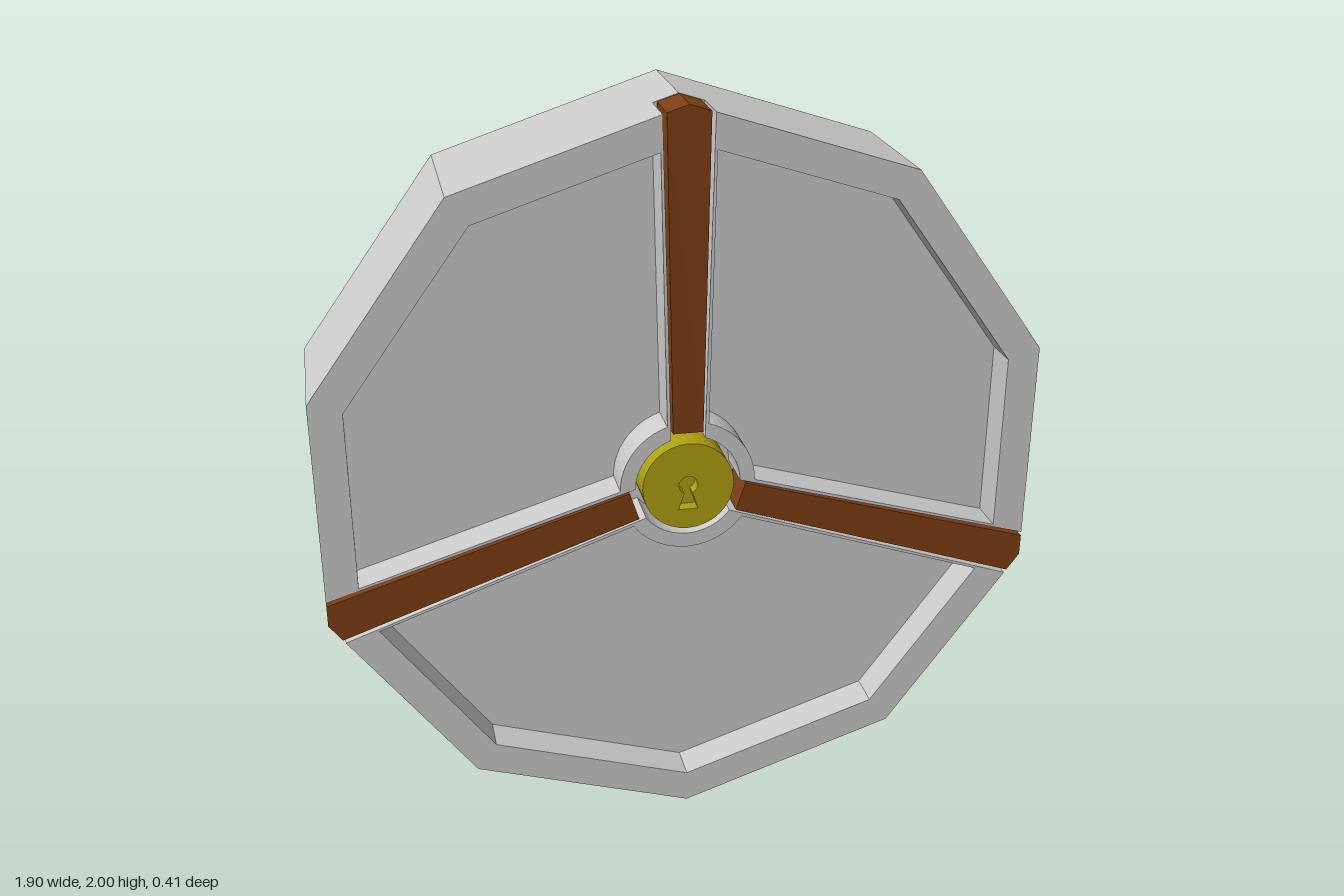
import * as THREE from 'three';

const grey = new THREE.MeshStandardMaterial({ color: 0xcccccc });
const brown = new THREE.MeshStandardMaterial({ color: 0x7f3f14 });
const gold = new THREE.MeshStandardMaterial({ color: 0xb0a012 });
const rad = THREE.MathUtils.degToRad;

// Point at a radius along a direction, shifted sideways (counter-clockwise positive)
function polar(deg, r, side = 0) {
  const c = Math.cos(rad(deg)), s = Math.sin(rad(deg));
  return new THREE.Vector2(c * r - s * side, s * r + c * side);
}

// Point on a decagon of radius R, a little to the side of one of its corners
const nearCorner = (deg, R, side) => polar(deg, R - Math.abs(side) / Math.tan(rad(72)), side);

// Outline between two spokes: inner arc, straight spoke edges, decagon rim
function sector(a1, a2, R, rIn, wIn, wOut) {
  const pts = [nearCorner(a1, R, wOut)];
  for (let a = a1 + 36; a < a2; a += 36) pts.push(polar(a, R));
  pts.push(nearCorner(a2, R, -wOut));
  const gap = THREE.MathUtils.radToDeg(Math.asin(wIn / rIn));
  for (let i = 0; i <= 12; i++) {
    pts.push(polar(THREE.MathUtils.lerp(a2 - gap, a1 + gap, i / 12), rIn));
  }
  return pts;
}

function slab(name, shape, z0, z1, material) {
  const geo = new THREE.ExtrudeGeometry(shape, { depth: z1 - z0, bevelEnabled: false, curveSegments: 16 });
  geo.translate(0, 0, z0);
  const mesh = new THREE.Mesh(geo, material);
  mesh.name = name;
  return mesh;
}

export function createModel() {
  const model = new THREE.Group();
  model.name = 'decagonalLid';
  const body = new THREE.Group();
  body.name = 'body';
  body.position.y = 1;
  model.add(body);

  // Solid back
  const decagon = Array.from({ length: 10 }, (_, i) => polar(90 + 36 * i, 1));
  body.add(slab('backPlate', new THREE.Shape(decagon), -0.2, 0.075, grey));

  // Front sectors separated by spoke slots, each with a shallow pocket
  [[-18, 90], [90, 198], [198, 342]].forEach(([a1, a2]) => {
    const outline = sector(a1, a2, 1, 0.14, 0.045, 0.065);
    body.add(slab('pocketFloor', new THREE.Shape(outline), 0.075, 0.1, grey));
    const frame = new THREE.Shape(outline);
    frame.holes.push(new THREE.Path(sector(a1, a2, 0.91, 0.18, 0.055, 0.07)));
    body.add(slab('pocketFrame', frame, 0.1, 0.2, grey));
  });

  // Tapered spokes set in the slots, ending at a decagon corner
  [90, 198, 342].forEach((a) => {
    const spoke = new THREE.Shape([
      polar(a, 0.15, -0.04), nearCorner(a, 1, -0.055), polar(a, 1),
      nearCorner(a, 1, 0.055), polar(a, 0.15, 0.04),
    ]);
    body.add(slab('spoke', spoke, 0.08, 0.2, brown));
  });

  // Lock disc with a keyhole
  const face = new THREE.Shape().absarc(0, 0, 0.122, 0, Math.PI * 2);
  const keyhole = new THREE.Path();
  keyhole.absarc(0, 0.003, 0.025, rad(-65), rad(245), false);
  keyhole.lineTo(-0.026, -0.066);
  keyhole.lineTo(0.026, -0.066);
  keyhole.closePath();
  face.holes.push(keyhole);
  body.add(slab('lockFace', face, 0.17, 0.205, gold));
  const base = new THREE.Shape().absarc(0, 0, 0.122, 0, Math.PI * 2);
  body.add(slab('lockBase', base, 0.075, 0.17, gold));

  return model;
}
